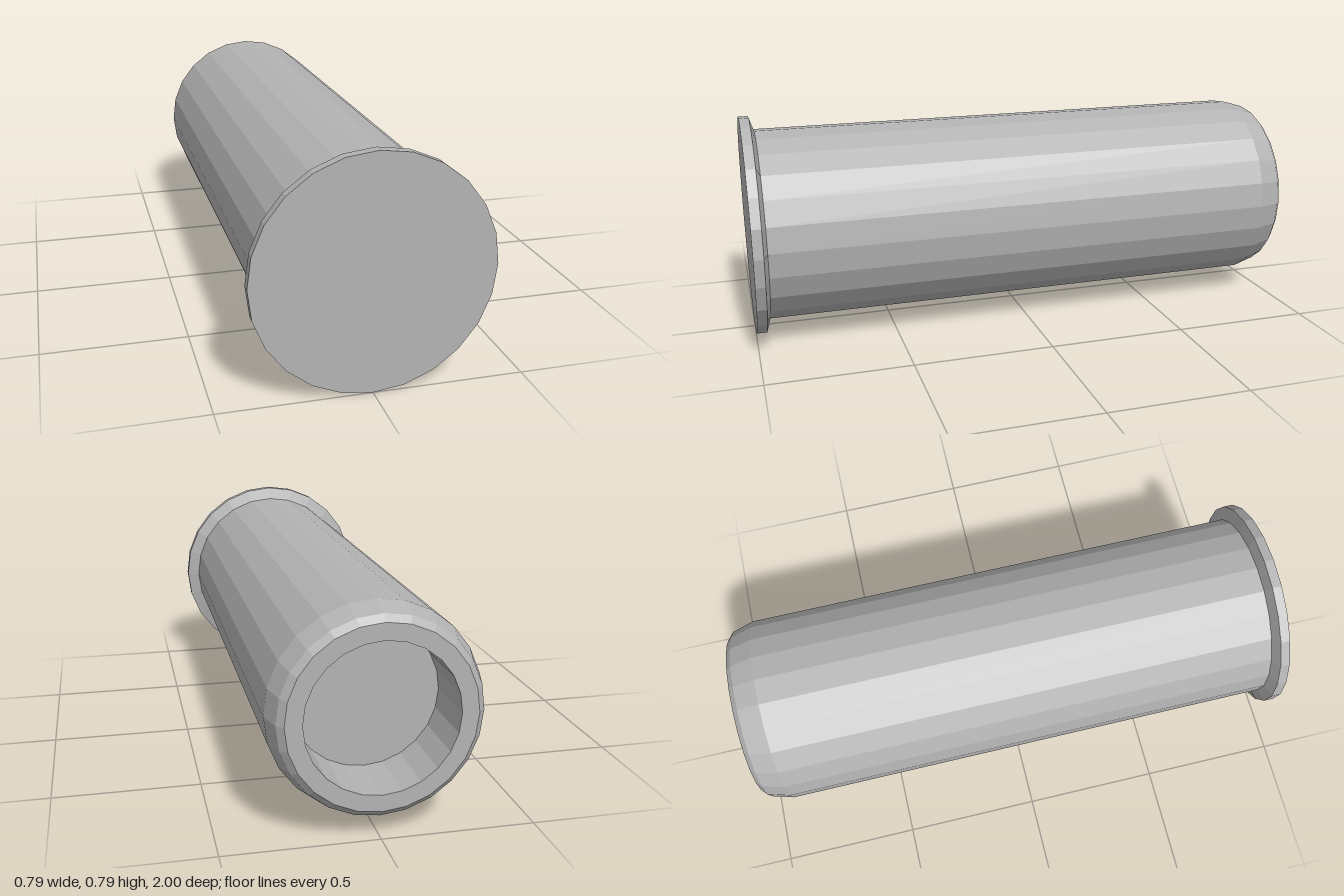
import * as THREE from 'three';

const SIDES = 24;
const AXIS_Y = 0.395;

// Revolve a [radius, z] profile about the z axis with faceted sides.
function turned(name, profile, material) {
  const points = profile.map(([r, z]) => new THREE.Vector2(r, z));
  const geometry = new THREE.LatheGeometry(points, SIDES).rotateX(Math.PI / 2).toNonIndexed();
  geometry.computeVertexNormals();
  const mesh = new THREE.Mesh(geometry, material);
  mesh.name = name;
  mesh.position.y = AXIS_Y;
  return mesh;
}

export function createModel() {
  const metal = new THREE.MeshStandardMaterial({ color: 0xb3b3b3 });
  metal.name = 'grey metal';

  const model = new THREE.Group();
  model.name = 'flangedPin';

  // Blind hole in the rear end
  model.add(turned('socket', [[0, -0.78], [0.245, -0.78], [0.245, -1]], metal));

  // Rear rim, small chamfer, long taper and straight shank
  model.add(turned('shank', [
    [0.245, -1], [0.3, -1], [0.322, -0.98], [0.345, -0.9], [0.345, 0.95],
  ], metal));

  // Wide head with a bevelled back and a flat front
  model.add(turned('head', [
    [0.345, 0.95], [0.393, 0.965], [0.393, 1], [0, 1],
  ], metal));

  return model;
}
